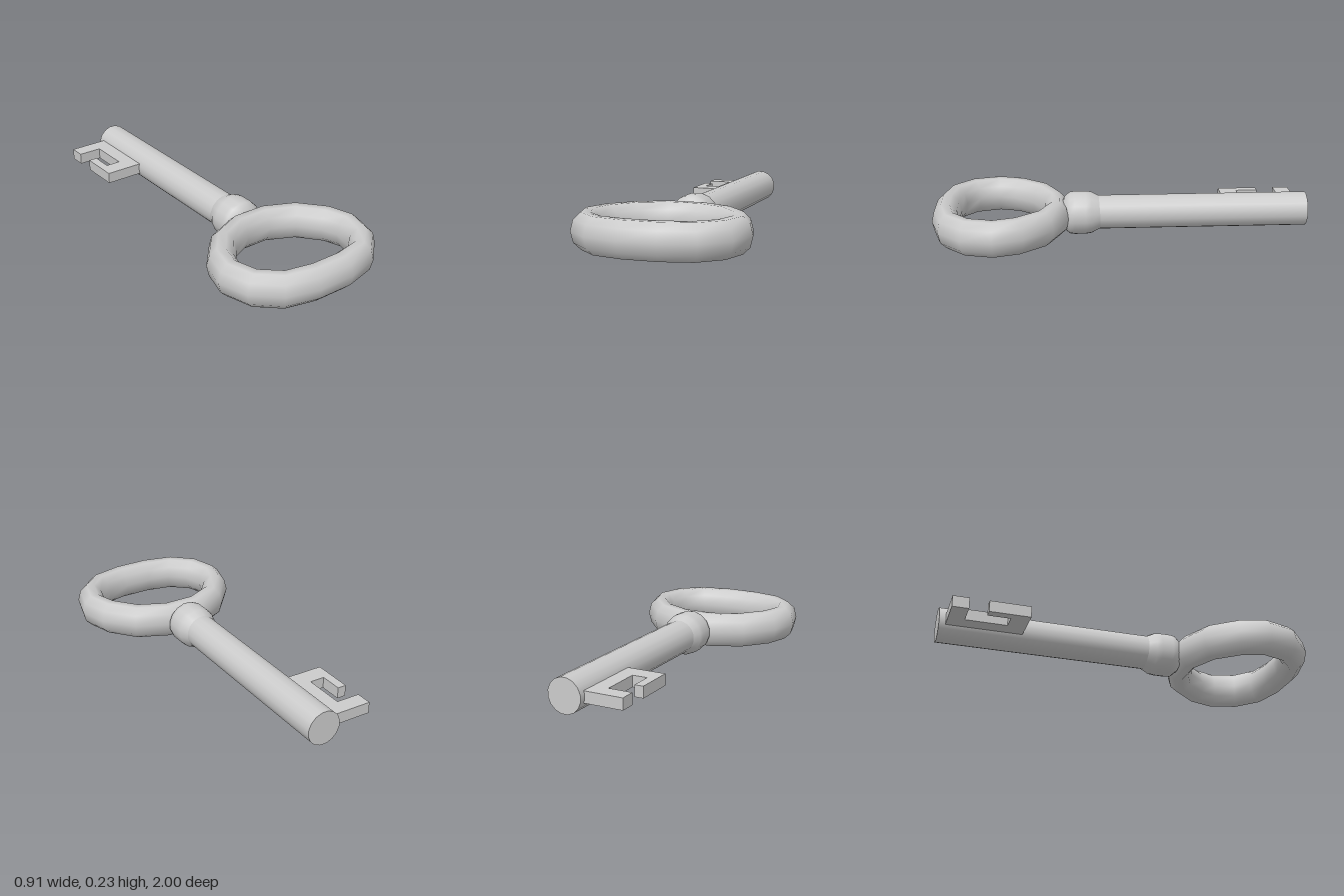
import * as THREE from 'three';

const material = new THREE.MeshStandardMaterial({ color: 0xcccccc });
const ringMaterial = new THREE.MeshStandardMaterial({ color: 0xcccccc });
const AXIS_Y = 0.117;

function addMesh(group, name, geometry, mat = material) {
  const mesh = new THREE.Mesh(geometry, mat);
  mesh.name = name;
  group.add(mesh);
  return mesh;
}

// Handle loop: an egg-shaped ring swept from paired outer and inner outlines
function ringGeometry() {
  const sides = 10, halfHeight = 0.096, centreY = 0.115;
  // [outer x, outer z, inner x, inner z] along the +x half
  const half = [
    [0.1, 0.28, 0.07, 0.415],
    [0.28, 0.36, 0.195, 0.475],
    [0.408, 0.51, 0.275, 0.575],
    [0.453, 0.667, 0.305, 0.66],
    [0.408, 0.83, 0.275, 0.768],
    [0.28, 0.95, 0.195, 0.835],
    [0.1, 0.998, 0.07, 0.855],
  ];
  const mirrored = half.map(([ox, oz, ix, iz]) => [-ox, oz, -ix, iz]).reverse();
  const loop = [...half, ...mirrored];
  const positions = [], index = [];
  loop.forEach(([ox, oz, ix, iz], i) => {
    const next = (i + 1) % loop.length;
    for (let j = 0; j < sides; j++) {
      const a = (j / sides) * Math.PI * 2;
      const t = (1 + Math.cos(a)) / 2;
      positions.push(ix + (ox - ix) * t, centreY + halfHeight * Math.sin(a), iz + (oz - iz) * t);
      const k = (j + 1) % sides;
      const p = i * sides + j, q = i * sides + k;
      const r = next * sides + j, s = next * sides + k;
      index.push(p, q, r, q, s, r);
    }
  });
  const geometry = new THREE.BufferGeometry();
  geometry.setAttribute('position', new THREE.Float32BufferAttribute(positions, 3));
  geometry.setIndex(index);
  geometry.computeVertexNormals();
  return geometry;
}

export function createModel() {
  const key = new THREE.Group();
  key.name = 'key';

  addMesh(key, 'handleRing', ringGeometry(), ringMaterial);

  // Round shaft with a flat end, turned very slightly off the centre line
  const shaftGeometry = new THREE.CylinderGeometry(0.091, 0.091, 1.2, 16, 1, false, Math.PI / 16);
  shaftGeometry.rotateX(Math.PI / 2);
  const shaft = addMesh(key, 'shaft', shaftGeometry);
  shaft.position.set(0.001, 0.118, -0.4);
  shaft.rotation.y = -0.004;

  // Swollen collar joining shaft and ring
  const collarProfile = [
    [0.085, 0.1], [0.092, 0.12], [0.112, 0.16], [0.116, 0.19],
    [0.116, 0.25], [0.112, 0.275], [0.088, 0.303], [0.05, 0.318], [0, 0.322],
  ].map(([r, z]) => new THREE.Vector2(r, z));
  const collarGeometry = new THREE.LatheGeometry(collarProfile, 16, Math.PI / 16);
  collarGeometry.rotateX(Math.PI / 2);
  addMesh(key, 'collar', collarGeometry).position.y = AXIS_Y;

  // Flat notched bit on the right side, outlined in x and z
  const outline = [
    [-0.05, -0.967], [-0.29, -0.967], [-0.29, -0.882], [-0.163, -0.882],
    [-0.163, -0.665], [-0.243, -0.665], [-0.243, -0.783], [-0.29, -0.783],
    [-0.29, -0.57], [-0.05, -0.57],
  ].map(([x, z]) => new THREE.Vector2(x, z));
  const thickness = 0.06;
  const bitGeometry = new THREE.ExtrudeGeometry(new THREE.Shape(outline), {
    depth: thickness,
    bevelEnabled: false,
  });
  bitGeometry.rotateX(Math.PI / 2);
  addMesh(key, 'bit', bitGeometry).position.y = AXIS_Y + thickness / 2;

  return key;
}
